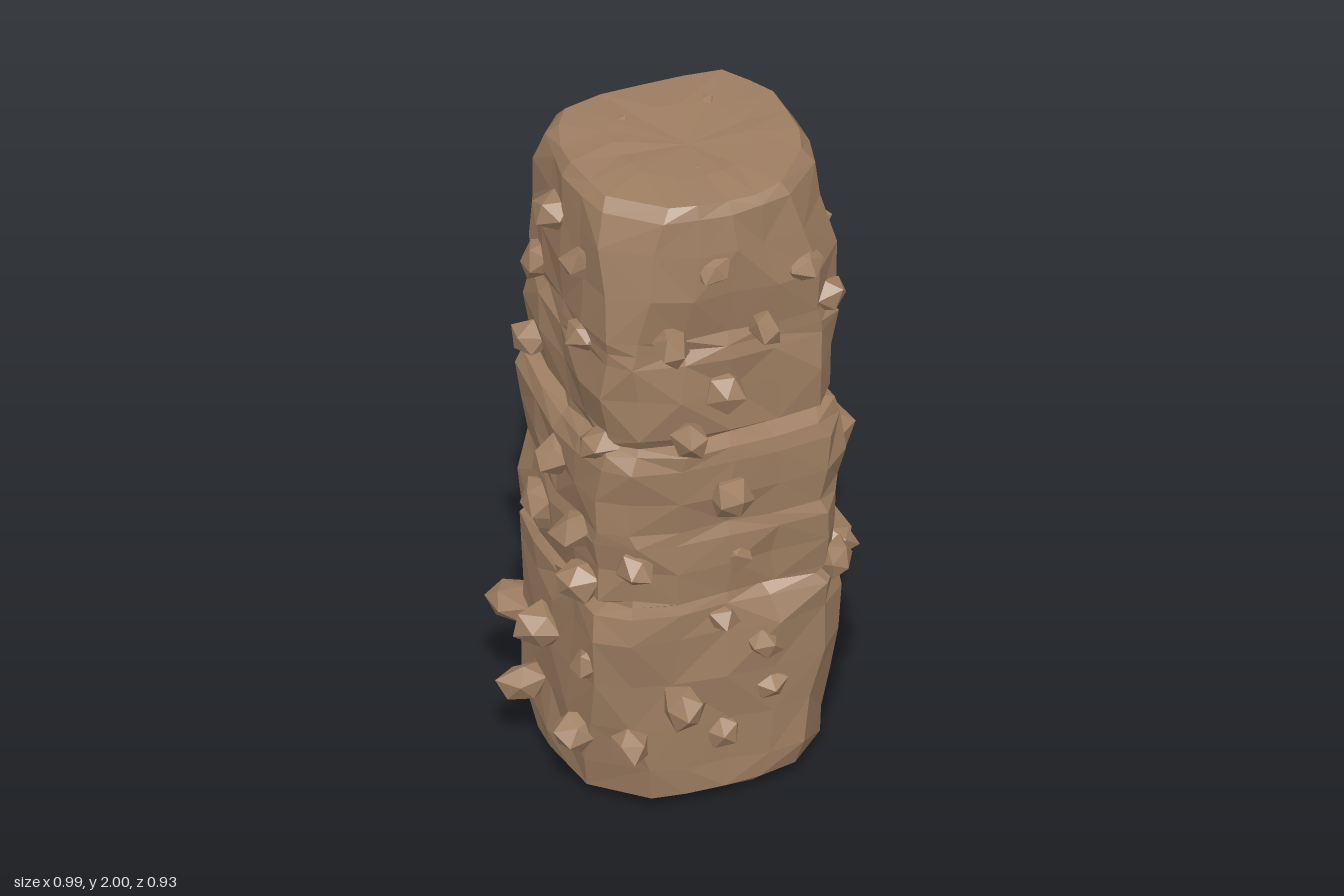
import * as THREE from 'three';

const stone = new THREE.MeshStandardMaterial({ color: 0x9e7e62 });
stone.name = 'brown stone';
stone.flatShading = true;

// repeatable noise in -1..1
const noise = (a, b = 0, c = 0) => {
  const s = Math.sin(a * 12.99 + b * 78.23 + c * 37.72 + 4.1) * 4375.85;
  return (s - Math.floor(s)) * 2 - 1;
};

// column levels: height and how far the wall is set in there
const levels = [
  [0.02, 0.05], [0.045, 0.008], [0.13, 0], [0.27, 0], [0.42, 0], [0.57, -0.003], [0.65, 0.003],
  [0.68, 0.032], [0.70, 0.01], [0.80, 0], [0.89, -0.005], [0.93, 0.008], [1.03, -0.012],
  [1.14, -0.015], [1.185, 0], [1.205, 0.045], [1.24, 0.015], [1.37, 0], [1.48, 0.003],
  [1.52, 0.02], [1.56, 0.003], [1.70, -0.005], [1.84, -0.003], [1.95, 0.006], [1.985, 0.03],
  [1.993, 0.17],
];
const perSide = 5, around = perSide * 4;

// one rounded-square loop, tapering slightly with height; corners are worn more near both ends
function loop([y, inset], k) {
  const x0 = -0.385 + 0.025 * y, x1 = 0.375 - 0.003 * y;
  const z0 = -0.348, z1 = 0.34 - 0.008 * y;
  const wear = Math.max(0, 1 - y / 0.4, (y - 1.6) / 0.4);
  const cut = 0.08 + 0.09 * wear, b = 0.05 + 0.05 * wear, bow = 0.01 + 0.02 * wear;
  // start and end of each side, and its outward direction
  const edges = [
    [x0 + cut, z1, x1 - cut, z1, 0, 1], [x1, z1 - cut, x1, z0 + b, 1, 0],
    [x1 - b, z0, x0 + b, z0, 0, -1], [x0, z0 + b, x0, z1 - cut, -1, 0],
  ];
  const inner = k > 1 && k < levels.length - 3;
  const rough = inner ? 0.015 : 0.008;
  return edges.flatMap(([ax, az, bx, bz, nx, nz], s) => Array.from({ length: perSide }, (_, j) => {
    const i = s * perSide + j, t = j / (perSide - 1);
    const dip = bow * (2 * t - 1) ** 2;
    const shrink = 1 - inset * 2.8 * (inner ? 0.75 + 0.45 * noise(i, k, 3) : 1);
    const wave = inner ? noise(i, 5) * 0.02 : noise(i, k) * 0.006;
    return [(ax + (bx - ax) * t - nx * dip) * shrink + noise(i, k, 1) * rough, y + wave,
      (az + (bz - az) * t - nz * dip) * shrink + noise(i, k, 2) * rough];
  }));
}

function columnGeometry() {
  const points = levels.flatMap(loop);
  const index = [];
  for (let k = 0; k < levels.length - 1; k++) {
    for (let i = 0; i < around; i++) {
      const a = k * around + i, b = k * around + (i + 1) % around;
      const c = b + around, d = a + around;
      if (noise(i, k, 7) > 0) index.push(a, b, c, a, c, d);
      else index.push(a, b, d, b, c, d);
    }
  }
  // end caps
  const bottom = points.push([0, 0, 0]) - 1;
  const top = points.push([0.02, 1.985, 0]) - 1;
  const last = (levels.length - 1) * around;
  for (let i = 0; i < around; i++) {
    const j = (i + 1) % around;
    index.push(bottom, j, i, top, last + i, last + j);
  }
  const g = new THREE.BufferGeometry();
  g.setAttribute('position', new THREE.Float32BufferAttribute(points.flat(), 3));
  g.setIndex(index);
  const flat = g.toNonIndexed();
  flat.computeVertexNormals();
  return flat;
}

// irregular faceted pebble, stretched along z
function pebbleGeometry(seed, size) {
  const g = new THREE.IcosahedronGeometry(1, 0);
  const p = g.attributes.position;
  for (let i = 0; i < p.count; i++) {
    const [x, y, z] = [p.getX(i), p.getY(i), p.getZ(i)].map((c) => Math.round(c * 100) / 100);
    const r = size * (1 + 0.2 * noise(x * 3 + seed, y * 5, z * 7));
    p.setXYZ(i, x * r, y * r * 0.85, z * r * 1.15);
  }
  g.computeVertexNormals();
  return g;
}

// pebbles on one side: position along it, height, and how far out the tip reaches
function pebbles(name, turn, list) {
  const group = new THREE.Group();
  group.name = name;
  list.forEach(([along, y, reach = 0.39], i) => {
    const seed = turn * 20 + i;
    const size = 0.06 + (reach - 0.38) * 0.11 + noise(seed) * 0.006;
    const out = reach - size * 1.05;
    const pebble = new THREE.Mesh(pebbleGeometry(seed, size), stone);
    pebble.name = 'pebble';
    pebble.position.set(...[[along, y, out], [out, y, along], [along, y, -out], [-out, y, along]][turn]);
    pebble.rotation.set(noise(seed, 1) * 0.3, turn * Math.PI / 2 + noise(seed, 2) * 0.3,
      noise(seed, 3) * 1.5, 'YXZ');
    group.add(pebble);
  });
  return group;
}

export function createModel() {
  const model = new THREE.Group();
  model.name = 'rockPillar';

  const column = new THREE.Mesh(columnGeometry(), stone);
  column.name = 'column';
  model.add(column);

  model.add(pebbles('frontPebbles', 0, [
    [-0.04, 1.79, 0.37], [0.24, 1.72, 0.36], [-0.17, 1.56], [0.11, 1.56], [-0.01, 1.37],
    [-0.11, 1.24], [0, 1.03, 0.43], [-0.27, 0.84, 0.37], [0.03, 0.8, 0.36], [0.34, 0.7, 0.36],
    [-0.01, 0.6, 0.36], [0.11, 0.5], [-0.16, 0.39, 0.47], [0.13, 0.35, 0.37], [-0.29, 0.25],
    [-0.01, 0.23, 0.37],
  ]));
  model.add(pebbles('leftPebbles', 1, [
    [0.1, 1.7, 0.4], [0.26, 1.57], [-0.14, 1.56, 0.47], [-0.13, 1.18], [0.14, 1.03, 0.46],
    [-0.17, 1.01, 0.45], [-0.03, 0.88, 0.46], [0.22, 0.7, 0.43], [0.06, 0.6, 0.5],
    [-0.27, 0.56], [-0.06, 0.24, 0.48],
  ]));
  model.add(pebbles('backPebbles', 2, [
    [0.07, 1.75, 0.38], [-0.09, 1.73, 0.37], [0.18, 1.55, 0.41], [-0.16, 1.54], [0.16, 1.24, 0.43],
    [0.04, 1.02, 0.455], [0.22, 0.97], [-0.15, 0.79, 0.44], [0.18, 0.46, 0.47],
    [-0.04, 0.35, 0.38], [0, 0.23, 0.41], [-0.13, 0.24], [0.2, 0.27, 0.38],
  ]));
  model.add(pebbles('rightPebbles', 3, [
    [-0.08, 1.81, 0.4], [0.08, 1.74], [-0.2, 1.57, 0.4], [0.12, 1.52], [-0.2, 1.31, 0.42],
    [0.2, 1.2], [0, 1.05, 0.45], [0.14, 0.88, 0.44], [-0.11, 0.83, 0.43], [0.17, 0.74, 0.46],
    [-0.03, 0.46, 0.48], [0.2, 0.47, 0.42], [-0.12, 0.22, 0.5], [0.17, 0.23, 0.46],
  ]));

  // larger slab jutting from the back right corner
  const slab = new THREE.Mesh(pebbleGeometry(75, 0.09), stone);
  slab.name = 'cornerSlab';
  slab.scale.y = 0.6;
  slab.position.set(-0.37, 0.36, -0.32);
  model.add(slab);

  // small stone tips breaking through the top
  [[-0.12, -0.18], [0.14, -0.18], [0.02, 0.12]].forEach(([x, z], i) => {
    const chip = new THREE.Mesh(pebbleGeometry(90 + i, 0.05), stone);
    chip.name = 'topChip';
    chip.position.set(x, 1.957, z);
    model.add(chip);
  });
  return model;
}
